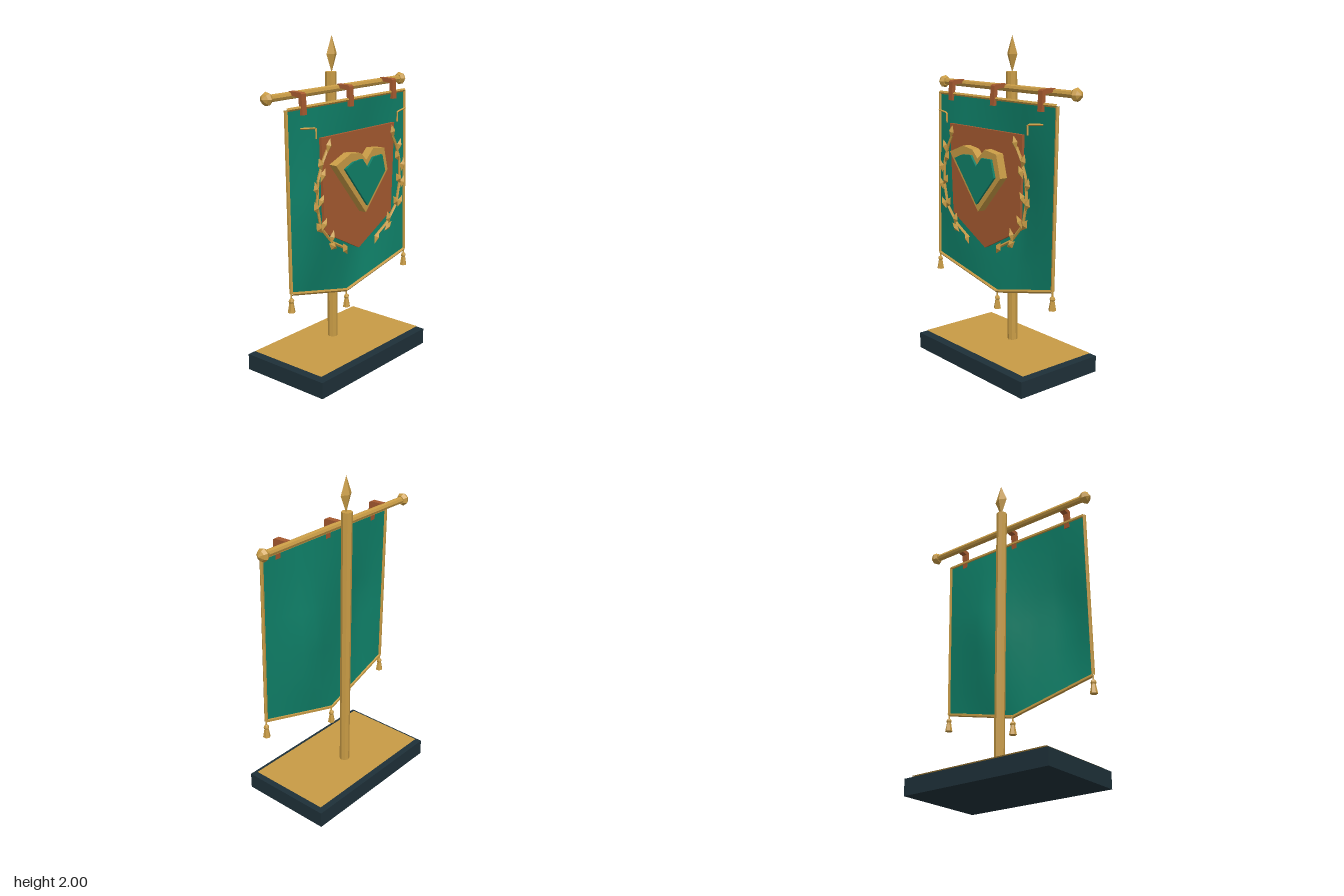
import * as THREE from 'three';

const mat = (color, extra = {}) => new THREE.MeshStandardMaterial({ color, ...extra });
const gold = mat(0xc89b45, { flatShading: true });
const goldSheet = mat(0xc89b45, { side: THREE.DoubleSide });
const copper = mat(0xa65a30, { flatShading: true });
const green = mat(0x0f8068, { flatShading: true });
const cloth = mat(0x0f8068, { side: THREE.DoubleSide });
const slate = mat(0x1e3038, { flatShading: true });

function add(parent, name, geometry, material, x = 0, y = 0, z = 0) {
  const mesh = new THREE.Mesh(geometry, material);
  mesh.name = name;
  mesh.position.set(x, y, z);
  parent.add(mesh);
  return mesh;
}

function subgroup(parent, name) {
  const group = new THREE.Group();
  group.name = name;
  parent.add(group);
  return group;
}

const v2 = (points) => points.map(([x, y]) => new THREE.Vector2(x, y));
const shapeOf = (points) => new THREE.Shape(v2(points));
const slab = (shape, depth) => new THREE.ExtrudeGeometry(shape, { depth, bevelEnabled: false });

// Straight-segmented tube through points
function rod(points, radius, sides = 5) {
  const path = new THREE.CurvePath();
  const p = points.map((q) => new THREE.Vector3(...q));
  for (let i = 1; i < p.length; i++) path.add(new THREE.LineCurve3(p[i - 1], p[i]));
  return new THREE.TubeGeometry(path, (p.length - 1) * 6, radius, sides, false);
}

// Piecewise linear lookup in [key, value] pairs
function lerpTable(table, t) {
  for (let i = 1; i < table.length; i++) {
    const [a, va] = table[i - 1], [b, vb] = table[i];
    if (t <= b) return va + (vb - va) * Math.max(0, (t - a) / (b - a));
  }
  return table[table.length - 1][1];
}

// Banner surface: u across (-1..1), v down (0..1)
const HALF = 0.535;
const wave = [[-1, 0], [-0.65, 0.052], [-0.15, 0.01], [0.35, -0.062], [0.78, -0.012], [1, 0]];
const swell = [[0, 0], [0.25, 0.45], [0.5, 1], [0.8, 0.6], [1, 0]];
function bannerPoint(u, v) {
  const bottom = 0.465 + 0.14 * Math.abs(u);
  const edgeZ = 0.08 + v * (0.02 - 0.04 * (1 - Math.abs(u)));
  return [u * HALF, 1.64 + (bottom - 1.64) * v, edgeZ + lerpTable(wave, u) * lerpTable(swell, v)];
}

function buildBanner(root) {
  const banner = subgroup(root, 'banner');
  const geo = new THREE.PlaneGeometry(2, 1, 12, 8);
  const pos = geo.attributes.position;
  for (let i = 0; i < pos.count; i++) pos.setXYZ(i, ...bannerPoint(pos.getX(i), 0.5 - pos.getY(i)));
  geo.computeVertexNormals();
  add(banner, 'bannerCloth', geo, cloth);

  // Gold trim along every edge
  const corners = [[-1, 0], [1, 0], [1, 1], [0, 1], [-1, 1], [-1, 0]].map(([u, v]) => bannerPoint(u, v));
  for (let i = 1; i < corners.length; i++) add(banner, 'trim', rod([corners[i - 1], corners[i]], 0.011), gold);

  // Tassels at the bottom corners and the tip
  const profile = v2([[0, 0], [0.023, 0], [0.013, 0.055], [0.017, 0.066], [0.012, 0.078], [0.005, 0.082], [0.005, 0.11]]);
  for (const u of [-1, 0, 1]) {
    const [x, y, z] = bannerPoint(u, 1);
    add(banner, 'tassel', new THREE.LatheGeometry(profile, 6), gold, x, y - 0.11, z);
  }

  // Corner ornaments
  for (const s of [-1, 1]) {
    add(banner, 'cornerOrnament', rod([[s * 0.48, 1.538, 0.13], [s * 0.372, 1.53, 0.15], [s * 0.372, 1.47, 0.15]], 0.006, 4), gold);
  }
}

function buildEmblem(root) {
  const emblem = subgroup(root, 'emblem');
  const shield = shapeOf([[-0.335, 1.47], [-0.31, 0.92], [0, 0.757], [0.315, 0.92], [0.335, 1.47]]);
  add(emblem, 'shield', slab(shield, 0.018), copper, 0, 0, 0.138);

  // Heart frame with a raised green centre
  const outer = [[0, 0.985], [0.205, 1.21], [0.17, 1.345], [0.065, 1.36], [0, 1.3], [-0.05, 1.348], [-0.14, 1.36], [-0.27, 1.31]];
  const inner = [[0, 1.03], [0.165, 1.21], [0.135, 1.312], [0.05, 1.31], [0, 1.255], [-0.05, 1.315], [-0.13, 1.31], [-0.205, 1.28]];
  const frame = shapeOf(outer);
  frame.holes.push(new THREE.Path(v2(inner)));
  add(emblem, 'heartFrame', slab(frame, 0.052), gold, 0, 0, 0.155);
  add(emblem, 'heartCentre', slab(shapeOf(inner), 0.024), green, 0, 0, 0.197);

  // Laurel branches: position and lean of each leaf on the +x side
  const stem = [[0.3, 1.4], [0.34, 1.335], [0.378, 1.24], [0.387, 1.1], [0.355, 0.96], [0.26, 0.855], [0.14, 0.79]];
  const leaves = [[0.295, 1.425, 0.3], [0.365, 1.33, -0.35], [0.345, 1.265, 0.5], [0.402, 1.2, -0.3], [0.36, 1.12, 0.6],
    [0.402, 1.09, -0.4], [0.335, 0.98, 0.6], [0.38, 0.97, -0.6], [0.265, 0.89, 0.3], [0.262, 0.835, -1.0], [0.15, 0.79, -0.5]];
  const leafGeo = new THREE.OctahedronGeometry(1).scale(0.024, 0.042, 0.016);
  for (const s of [-1, 1]) {
    const branch = subgroup(emblem, s < 0 ? 'rightLaurel' : 'leftLaurel');
    add(branch, 'stem', rod(stem.map(([x, y]) => [s * x, y, 0.167]), 0.009), gold);
    for (const [x, y, lean] of leaves) add(branch, 'leaf', leafGeo, gold, s * x, y, 0.175).rotation.z = s * lean;
  }
}

function buildStand(root) {
  const stand = subgroup(root, 'stand');
  add(stand, 'base', new THREE.BoxGeometry(1, 0.1, 0.595), slate, 0, 0.055, 0);
  add(stand, 'baseTopPanel', new THREE.PlaneGeometry(0.945, 0.535).rotateX(-Math.PI / 2), goldSheet, 0.002, 0.122, -0.004);

  // Pole leans very slightly
  add(stand, 'pole', new THREE.CylinderGeometry(0.033, 0.031, 1.66, 8), gold, 0, 0.96, -0.057).rotation.z = 0.008;
  add(stand, 'finial', new THREE.OctahedronGeometry(1).scale(0.046, 0.108, 0.024), gold, 0, 1.892, -0.056);

  // Crossbar with knobs
  add(stand, 'crossbar', new THREE.CylinderGeometry(0.021, 0.021, 1.2, 8).rotateZ(Math.PI / 2), gold, 0, 1.7, 0);
  const knob = v2([[0, 0], [0.027, 0], [0.04, 0.022], [0.03, 0.042], [0, 0.06]]);
  for (const s of [-1, 1]) {
    add(stand, 'crossbarKnob', new THREE.LatheGeometry(knob, 7), gold, s * 0.575, 1.7, 0).rotation.z = -s * Math.PI / 2;
  }

  // Bent straps from the crossbar down to the cloth
  const strap = shapeOf([[0, 1.703], [0.07, 1.695], [0.078, 1.6], [0.1, 1.6], [0.093, 1.715], [0.083, 1.722], [0, 1.724]]);
  const strapGeo = slab(strap, 0.036).translate(0, 0, -0.018).rotateY(-Math.PI / 2);
  for (const x of [-0.407, 0, 0.412]) add(stand, 'strap', strapGeo, copper, x, 0, 0);
}

export function createModel() {
  const root = new THREE.Group();
  root.name = 'bannerStand';
  buildStand(root);
  buildBanner(root);
  buildEmblem(root);
  return root;
}
